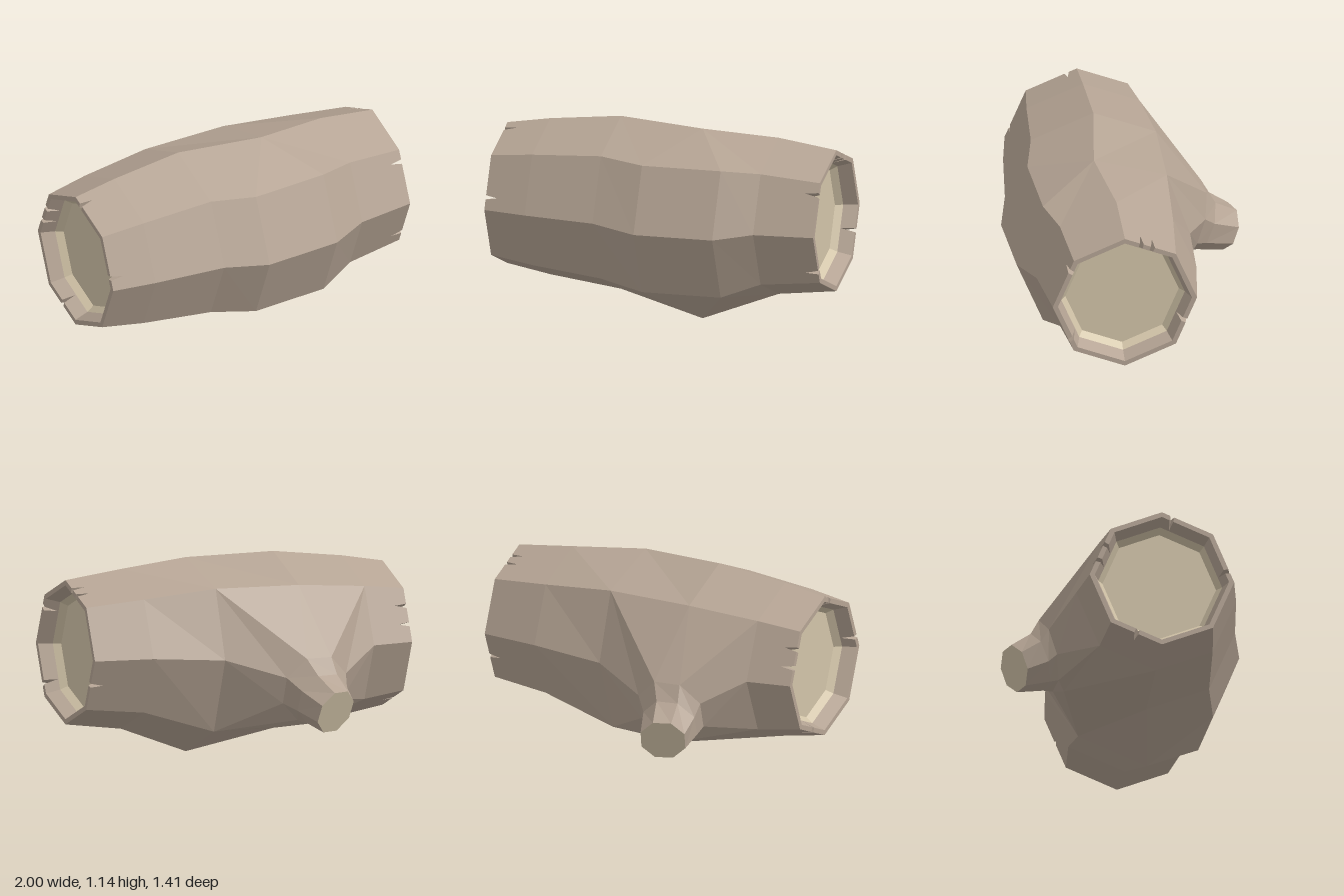
import * as THREE from 'three';

const V = (x, y, z) => new THREE.Vector3(x, y, z);
const SIDES = 8;

// Collects flat triangles and turns them into a mesh
class Faces {
  constructor() { this.p = []; }
  tri(a, b, c) {
    const area = b.clone().sub(a).cross(c.clone().sub(a)).length();
    if (area > 1e-7) for (const v of [a, b, c]) this.p.push(v.x, v.y, v.z);
  }
  quad(a, b, c, d) { this.tri(a, b, c); this.tri(a, c, d); }
  mesh(name, material) {
    const g = new THREE.BufferGeometry();
    g.setAttribute('position', new THREE.Float32BufferAttribute(this.p, 3));
    g.computeVertexNormals();
    const m = new THREE.Mesh(g, material);
    m.name = name;
    return m;
  }
}

// Octagon across the trunk: top, then round by the front, bottom and back
function trunkRing(x, r) {
  return Array.from({ length: SIDES }, (_, j) => {
    const a = (j / SIDES) * Math.PI * 2;
    return V(x, 0.63 + r * Math.cos(a), 0.13 + r * Math.sin(a));
  });
}

// Octagon across the branch, facing along n
function branchRing(c, n, r) {
  n.normalize();
  const u = V(-n.z, 0, n.x).normalize();
  const v = u.clone().cross(n);
  return Array.from({ length: SIDES }, (_, k) => {
    const a = ((k + 0.5) / SIDES) * Math.PI * 2;
    return c.clone().addScaledVector(u, r * Math.cos(a)).addScaledVector(v, r * Math.sin(a));
  });
}

export function createModel() {
  const group = new THREE.Group();
  const bark = new THREE.MeshStandardMaterial({ color: 0xb5a494, flatShading: true, side: THREE.DoubleSide });
  const wood = new THREE.MeshStandardMaterial({ color: 0xd2c4a8, flatShading: true, side: THREE.DoubleSide });

  // Trunk cross-sections; the two bulging ones share their top, bottom and back
  const bulge = (x, front) => [
    V(0.21, 1.13, 0.2), V(x, 0.975, front - 0.153), V(x, 0.6, front), V(x, 0.222, front - 0.153),
    V(0.21, 0, 0.2), V(0.21, 0.165, -0.2), V(0.21, 0.6, -0.36), V(0.21, 1.0, -0.225),
  ];
  const st = [
    trunkRing(-1, 0.42), trunkRing(-0.74, 0.465), trunkRing(-0.31, 0.515),
    bulge(-0.04, 0.705), bulge(0.43, 0.68), trunkRing(0.65, 0.465), trunkRing(1, 0.42),
  ];
  st[2][5].set(-0.31, 0.2, -0.35);

  // Trunk bark between the end bands, open where the branch grows
  const trunk = new Faces();
  for (let i = 1; i < 5; i++) {
    for (let j = 0; j < SIDES; j++) {
      if (i < 3 && (j === 5 || j === 6)) continue;
      const k = (j + 1) % SIDES;
      trunk.quad(st[i][j], st[i][k], st[i + 1][k], st[i + 1][j]);
    }
  }
  group.add(trunk.mesh('trunkBark', bark));

  // Split ends: notches listed as [side, place along that side]
  const ends = [
    { s: 1, base: st[5], rim: st[6], name: 'left', notches: [[1, 0.22], [2, 0.77], [5, 0.5], [7, 0.45], [7, 0.67]] },
    { s: -1, base: st[1], rim: st[0], name: 'right', notches: [[0, 0.2], [1, 0.77], [4, 0.5], [6, 0.33], [6, 0.67]] },
  ];
  const half = 0.04, depth = 0.075;
  for (const { s, base, rim, name, notches } of ends) {
    const band = new Faces();
    const lip = trunkRing(s, 0.39), floor = trunkRing(s * 0.92, 0.36);

    // One side of a band with its notches cut from the rim
    const notchedSide = (low, high, j, cuts, flip) => {
      const k = (j + 1) % SIDES;
      const apex = 1 - depth / Math.abs(high[j].x - low[j].x);
      const outline = [[0, 0], [1, 0], [1, 1]];
      for (const t of [...cuts].reverse()) outline.push([t + half, 1], [t, apex], [t - half, 1]);
      outline.push([0, 1]);
      const at = ([t, h]) => low[j].clone().lerp(low[k], t).lerp(high[j].clone().lerp(high[k], t), h);
      const pts = outline.map(at);
      const tris = THREE.ShapeUtils.triangulateShape(outline.map(([t, h]) => new THREE.Vector2(t, h)), []);
      for (const [a, b, c] of tris) {
        if (flip) band.tri(pts[a], pts[c], pts[b]);
        else band.tri(pts[a], pts[b], pts[c]);
      }
      return pts.slice(2);
    };

    for (let j = 0; j < SIDES; j++) {
      const cuts = notches.filter((n) => n[0] === j).map((n) => n[1]);
      const outer = notchedSide(base, rim, j, cuts, s < 0);
      const inner = notchedSide(floor, lip, j, cuts, s > 0);
      // Rim edge, following the notches in and out
      for (let m = 0; m + 1 < outer.length; m++) {
        const q = [outer[m], inner[m], inner[m + 1], outer[m + 1]];
        if (s > 0) q.reverse();
        band.quad(...q.reverse());
      }
    }
    group.add(band.mesh(name + 'EndBark', bark));

    // Cut wood: sloped border and flat face
    const cut = new Faces();
    const face = trunkRing(s * 0.88, 0.33), mid = V(s * 0.88, 0.63, 0.13);
    for (let j = 0; j < SIDES; j++) {
      const k = (j + 1) % SIDES;
      const [a, b] = s > 0 ? [k, j] : [j, k];
      cut.quad(floor[a], floor[b], face[b], face[a]);
      cut.tri(mid, face[a], face[b]);
    }
    group.add(cut.mesh(name + 'EndWood', wood));
  }

  // Branch: flared foot joined to the trunk opening, then a tapering stub
  const opening = [st[3][6], st[3][7], st[2][7], st[1][7], st[1][6], st[1][5], st[2][5], st[3][5]];
  const rings = [
    branchRing(V(-0.31, 0.42, -0.455), V(-0.08, -0.3, -0.95), 0.21),
    branchRing(V(-0.335, 0.365, -0.51), V(-0.15, -0.36, -0.9), 0.168),
    branchRing(V(-0.36, 0.305, -0.645), V(-0.33, -0.36, -0.86), 0.138),
  ];
  const branch = new Faces(), tip = new Faces();
  const tipMid = V(-0.36, 0.305, -0.645);
  for (let k = 0; k < SIDES; k++) {
    const n = (k + 1) % SIDES;
    branch.tri(opening[k], rings[0][k], opening[n]);
    branch.tri(rings[0][k], rings[0][n], opening[n]);
    for (let i = 0; i < 2; i++) branch.quad(rings[i][k], rings[i + 1][k], rings[i + 1][n], rings[i][n]);
    tip.tri(tipMid, rings[2][n], rings[2][k]);
  }
  group.add(branch.mesh('branchBark', bark), tip.mesh('branchCutWood', wood));
  return group;
}
